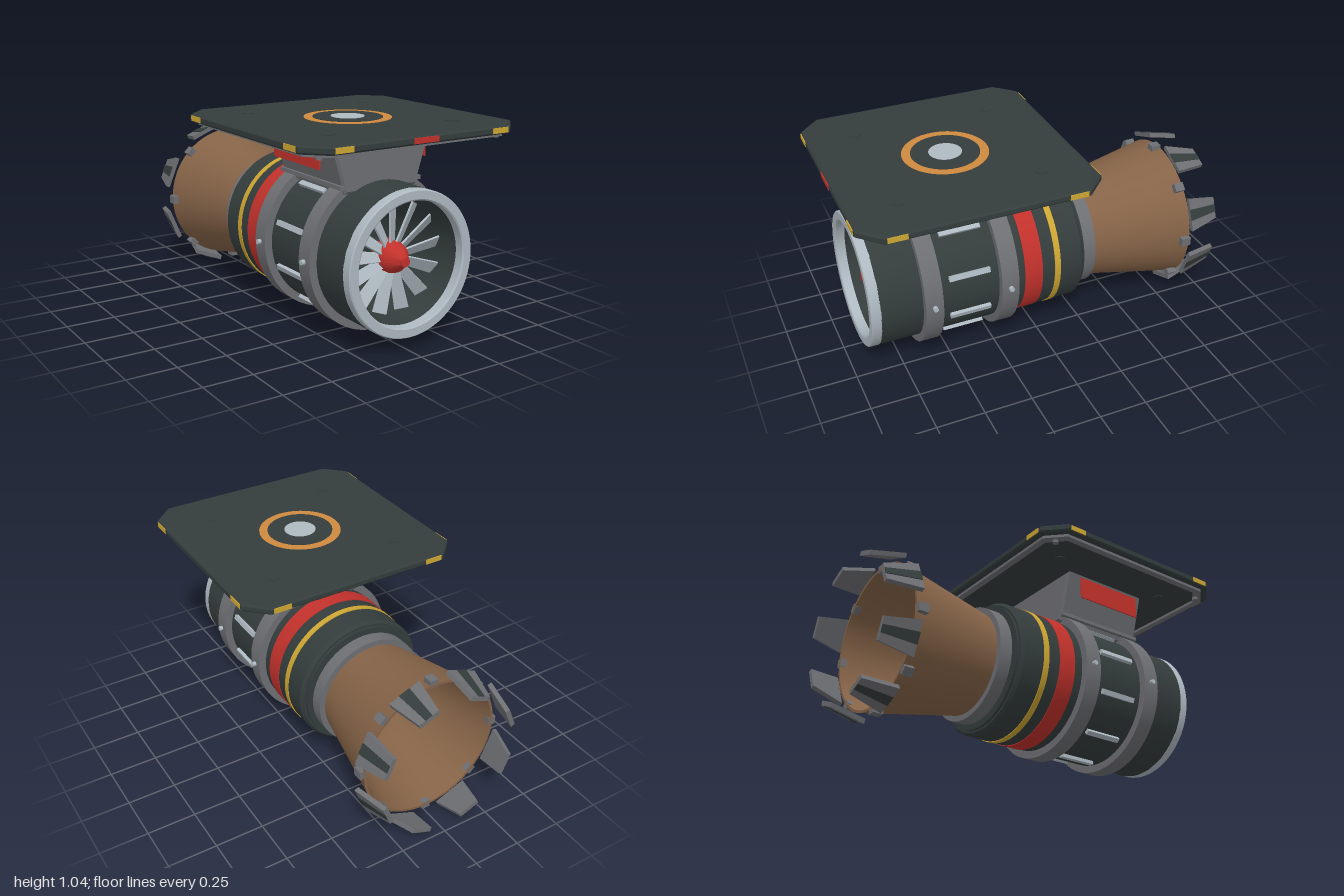
import * as THREE from 'three';
import { toCreasedNormals } from 'three/addons/utils/BufferGeometryUtils.js';

const mat = (name, color) => Object.assign(new THREE.MeshStandardMaterial({ color }), { name });
const dark = mat('dark slate', 0x343c3c);
const grey = mat('steel grey', 0x6e6f73);
const light = mat('light alloy', 0xaeb9c1);
const red = mat('red', 0xc2312b);
const yellow = mat('yellow', 0xcda632);
const brown = mat('heated bronze', 0x856347);
const orange = mat('orange', 0xcf8a3f);

const AXIS_Y = 0.425, PLATE_Z = 0.3875;

export function createModel() {
  const model = new THREE.Group();
  model.name = 'thruster';
  const engine = new THREE.Group();
  engine.name = 'engine';
  engine.position.y = AXIS_Y;
  model.add(engine);

  const add = (parent, name, geo, material, x = 0, y = 0, z = 0) => {
    const m = new THREE.Mesh(geo, material);
    m.name = name;
    m.position.set(x, y, z);
    parent.add(m);
    return m;
  };
  const box = (w, h, d) => new THREE.BoxGeometry(w, h, d);
  // Solid of revolution about the engine axis; points are [radius, z]
  const turned = (name, pts, material, closed = true) => {
    const p = pts.map(([r, z]) => new THREE.Vector2(r, z));
    if (closed) p.push(p[0].clone());
    const geo = new THREE.LatheGeometry(p, 64).rotateX(Math.PI / 2);
    return add(engine, name, toCreasedNormals(geo, 0.5), material);
  };
  const ring = (name, rIn, rOut, z0, z1, material) =>
    turned(name, [[rIn, z0], [rOut, z0], [rOut, z1], [rIn, z1]], material);
  // Repeats a part around the axis; local +y points outward
  const around = (name, count, startDeg, build) => {
    for (let i = 0; i < count; i++) {
      const g = new THREE.Group();
      g.name = name;
      g.rotation.z = THREE.MathUtils.degToRad(startDeg + (i * 360) / count);
      build(g);
      engine.add(g);
    }
  };

  // Main casing with open intake duct
  turned('casing', [[0.268, -0.235], [0.33, -0.235], [0.33, -0.222], [0.342, -0.222],
    [0.355, -0.205], [0.355, 0.87], [0.305, 0.87], [0.268, 0.6]], dark);
  turned('intakeLip', [[0.303, 0.868], [0.355, 0.868], [0.355, 0.914], [0.35, 0.92],
    [0.31, 0.92], [0.303, 0.914]], light);
  for (const z of [0.61, 0.2075]) {
    ring('clampBand', 0.34, 0.395, z - 0.046, z + 0.046, grey);
    for (const s of [-1, 1])
      add(engine, 'bandBolt', new THREE.CylinderGeometry(0.013, 0.013, 0.03, 12).rotateZ(Math.PI / 2), light, s * 0.398, 0, z);
  }
  ring('redBand', 0.345, 0.359, 0.015, 0.112, red);
  ring('yellowBand', 0.345, 0.359, -0.086, -0.054, yellow);
  around('coolingSlat', 10, 0, g => add(g, 'slat', box(0.026, 0.03, 0.215), light, 0, 0.358, 0.408));

  // Fan, spinner and inner bulkhead
  around('fanBlade', 13, 0, g => {
    const blade = box(0.07, 0.215, 0.01);
    const p = blade.attributes.position;
    for (let i = 0; i < p.count; i++) if (p.getY(i) < 0) p.setX(i, p.getX(i) * 0.7);
    blade.rotateY(0.55);
    blade.computeVertexNormals();
    add(g, 'blade', blade, light, 0, 0.17, 0.76);
  });
  turned('spinner', [[0, 0.71], [0.08, 0.71], [0.08, 0.76], [0.067, 0.805], [0.026, 0.855],
    [0.024, 0.868], [0, 0.87]], red, false);
  turned('bulkhead', [[0, -0.25], [0.272, -0.25], [0.272, -0.225], [0, -0.225]], brown, false);
  ring('bulkheadRing', 0.13, 0.19, -0.226, -0.2, dark);
  turned('fanShaft', [[0, -0.23], [0.055, -0.23], [0.055, 0.72], [0, 0.72]], dark, false);

  // Flared nozzle with collar
  turned('nozzle', [[0.365, -0.84], [0.378, -0.84], [0.265, -0.28], [0.265, -0.225],
    [0.25, -0.225], [0.252, -0.28]], brown);
  ring('nozzleCollar', 0.255, 0.302, -0.315, -0.245, grey);
  around('rimClip', 8, 0, g => add(g, 'clip', box(0.045, 0.04, 0.052), grey, 0, 0.378, -0.812));

  // Exhaust petals, narrowing and leaning inward to the rear
  const petalSlab = (w, t) => {
    const geo = box(w, t, 0.172);
    const p = geo.attributes.position;
    for (let i = 0; i < p.count; i++) {
      if (p.getZ(i) < 0) p.setXYZ(i, p.getX(i) * 0.64, p.getY(i) - 0.038, p.getZ(i));
    }
    geo.computeVertexNormals();
    return geo;
  };
  around('exhaustPetal', 8, 22.5, g => {
    add(g, 'petal', petalSlab(0.176, 0.024), grey, 0, 0.409, -0.914);
    add(g, 'petalGroove', petalSlab(0.06, 0.004), dark, 0, 0.4225, -0.914);
  });

  // Square mounting plate with cut corners
  const plateShape = (h, c) => new THREE.Shape([[c - h, -h], [h - c, -h], [h, c - h], [h, h - c],
    [h - c, h], [c - h, h], [-h, h - c], [-h, c - h]].map(([x, y]) => new THREE.Vector2(x, y)));
  const slab = (shape, depth, bevel) => new THREE.ExtrudeGeometry(shape, {
    depth, bevelEnabled: bevel > 0, bevelThickness: bevel, bevelSize: bevel, bevelSegments: 1,
  }).rotateX(-Math.PI / 2);
  add(model, 'mountPlate', slab(plateShape(0.594, 0.1), 0.022, 0.009), dark, 0, 1.009, PLATE_Z);
  const frame = plateShape(0.57, 0.09);
  frame.holes.push(plateShape(0.535, 0.08));
  add(model, 'plateFrame', slab(frame, 0.018, 0), grey, 0, 0.985, PLATE_Z);

  // Plate bolts, frame studs and edge markings
  for (const sx of [-1, 1]) for (const sz of [-1, 1]) {
    add(model, 'plateBolt', new THREE.CylinderGeometry(0.03, 0.03, 0.047, 24), dark, sx * 0.355, 1.0195, PLATE_Z + sz * 0.357);
    add(model, 'frameStud', new THREE.CylinderGeometry(0.016, 0.016, 0.02, 12), grey, sx * 0.5, 0.979, PLATE_Z + sz * 0.505);
    add(model, 'edgeStripe', box(0.095, 0.026, 0.006), yellow, sx * 0.437, 1.02, PLATE_Z + sz * 0.603);
    add(model, 'edgeStripe', box(0.006, 0.026, 0.095), yellow, sx * 0.603, 1.02, PLATE_Z + sz * 0.437);
  }
  add(model, 'frontMarker', box(0.14, 0.026, 0.006), red, 0, 1.02, PLATE_Z + 0.603);

  // Docking target on top of the plate
  const disc = (name, r, top, material) =>
    add(model, name, new THREE.CylinderGeometry(r, r, 0.008, 48), material, 0, top - 0.004, PLATE_Z);
  disc('targetRing', 0.216, 1.042, orange);
  disc('targetField', 0.172, 1.044, dark);
  disc('targetCentre', 0.083, 1.046, light);

  // Tapered pylon and its side panels
  const pylonShape = new THREE.Shape([[-0.2, 0.745], [0.2, 0.745], [0.275, 0.99], [-0.275, 0.99]]
    .map(([x, y]) => new THREE.Vector2(x, y)));
  add(model, 'pylon', new THREE.ExtrudeGeometry(pylonShape, {
    depth: 0.51, bevelThickness: 0.012, bevelSize: 0.012, bevelSegments: 1,
  }), grey, 0, 0, 0.152);
  add(model, 'pylonFoot', box(0.47, 0.02, 0.53), grey, 0, 0.765, 0.407);
  for (const s of [-1, 1]) add(model, 'sidePanel', box(0.006, 0.12, 0.4), red, s * 0.309, 0.91, 0.41);

  return model;
}
